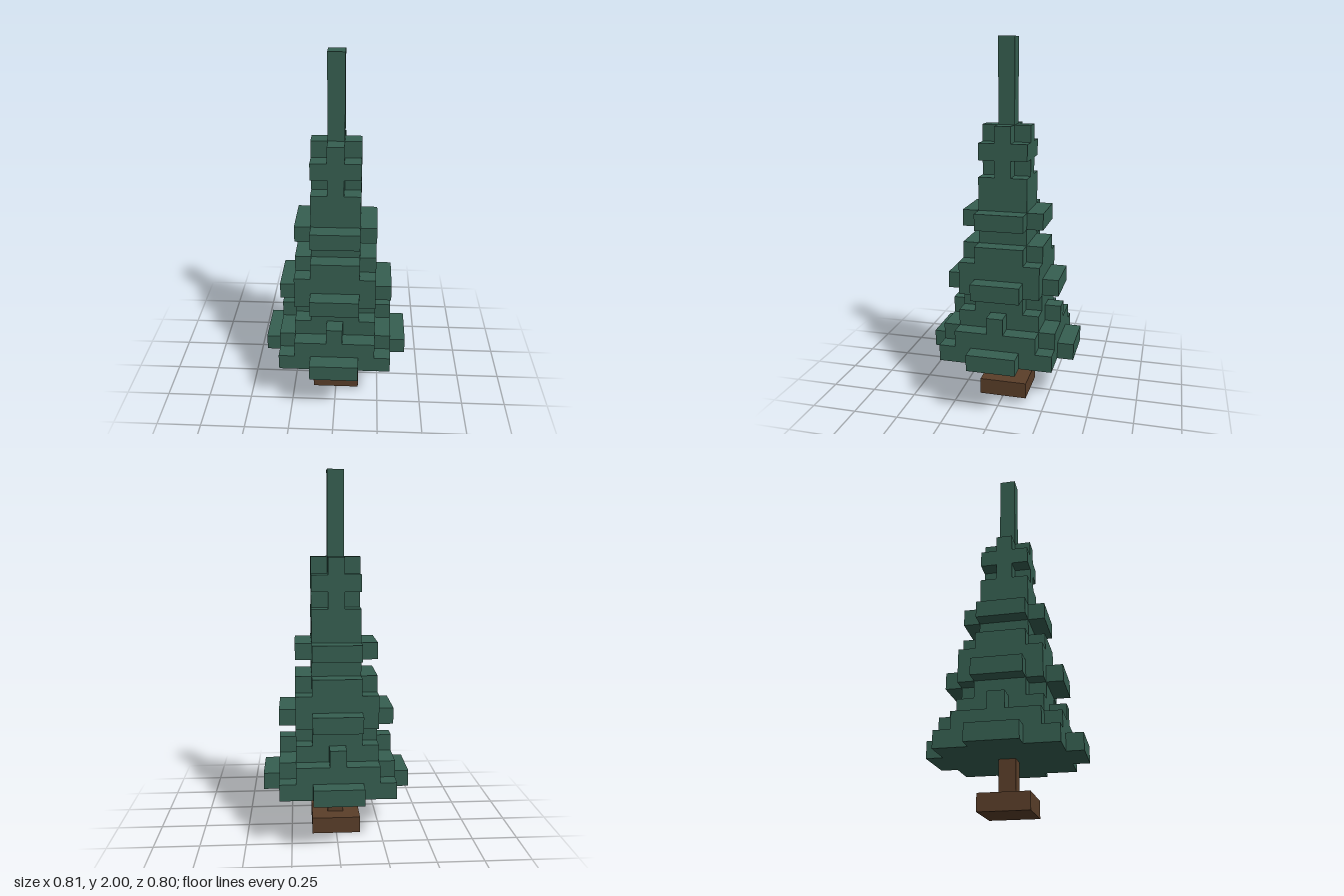
import * as THREE from 'three';

// Size of one block
const CELL_X = 0.0895, CELL_Y = 2 / 22, CELL_Z = 0.0891;

// Footprints as staircases [half width, half depth] in blocks, from widest in x to widest in z
const POST = [[0.5, 0.5]];
const SQUARE3 = [[1.5, 1.5]];
const PLUS3 = [[1.5, 0.5], [0.5, 1.5]];
const SQUARE5 = [[2.5, 2.5]];
const CUT5 = [[2.5, 1.5], [1.5, 2.5]];
const CUT7 = [[3.5, 2.5], [2.5, 3.5]];
const STUD7 = [[3.5, 0.5], [2.5, 2.5], [0.5, 3.5]];
const ARMS7 = [[3.5, 1.5], [2.5, 2.5], [1.5, 3.5]];
const ARMS9 = [[4.5, 1.5], [3.5, 3.5], [1.5, 4.5]];

// [name, footprint, first layer, number of layers]
const TRUNK = [
  ['trunkBase', SQUARE3, 0, 1],
  ['trunk', POST, 1, 2],
];
const FOLIAGE = [
  ['lowestBranches', ARMS9, 3, 1],
  ['lowerBranches', CUT7, 4, 1],
  ['lowerBranchTips', STUD7, 5, 1],
  ['lowerNeck', CUT5, 6, 1],
  ['middleBranches', ARMS7, 7, 1],
  ['middleBody', SQUARE5, 8, 1],
  ['middleShoulder', CUT5, 9, 1],
  ['upperNeck', SQUARE3, 10, 1],
  ['upperBranches', CUT5, 11, 1],
  ['upperBody', SQUARE3, 12, 2],
  ['upperNotch', PLUS3, 14, 1],
  ['crown', SQUARE3, 15, 1],
  ['crownTop', PLUS3, 16, 1],
  ['spire', POST, 17, 5],
];

// Mirrors a staircase into all four quadrants and extrudes it upwards
function layerGeometry(steps, layers) {
  const quarter = [];
  steps.forEach(([w, d], i) => {
    quarter.push([w, d]);
    if (i + 1 < steps.length) quarter.push([steps[i + 1][0], d]);
  });
  const back = [...quarter].reverse();
  const outline = [
    ...quarter,
    ...back.map(([x, z]) => [-x, z]),
    ...quarter.map(([x, z]) => [-x, -z]),
    ...back.map(([x, z]) => [x, -z]),
  ].map(([x, z]) => new THREE.Vector2(x * CELL_X, z * CELL_Z));
  const geometry = new THREE.ExtrudeGeometry(new THREE.Shape(outline), {
    depth: layers * CELL_Y, bevelEnabled: false,
  });
  return geometry.rotateX(-Math.PI / 2);
}

function buildStack(name, parts, material) {
  const group = new THREE.Group();
  group.name = name;
  for (const [partName, steps, start, layers] of parts) {
    const mesh = new THREE.Mesh(layerGeometry(steps, layers), material);
    mesh.name = partName;
    mesh.position.y = start * CELL_Y;
    group.add(mesh);
  }
  return group;
}

export function createModel() {
  const needles = new THREE.MeshStandardMaterial({ color: 0x365f51 });
  needles.name = 'needleGreen';
  const bark = new THREE.MeshStandardMaterial({ color: 0x5a3e29 });
  bark.name = 'barkBrown';

  const tree = new THREE.Group();
  tree.name = 'blockTree';
  tree.add(buildStack('trunkGroup', TRUNK, bark), buildStack('foliage', FOLIAGE, needles));
  return tree;
}
